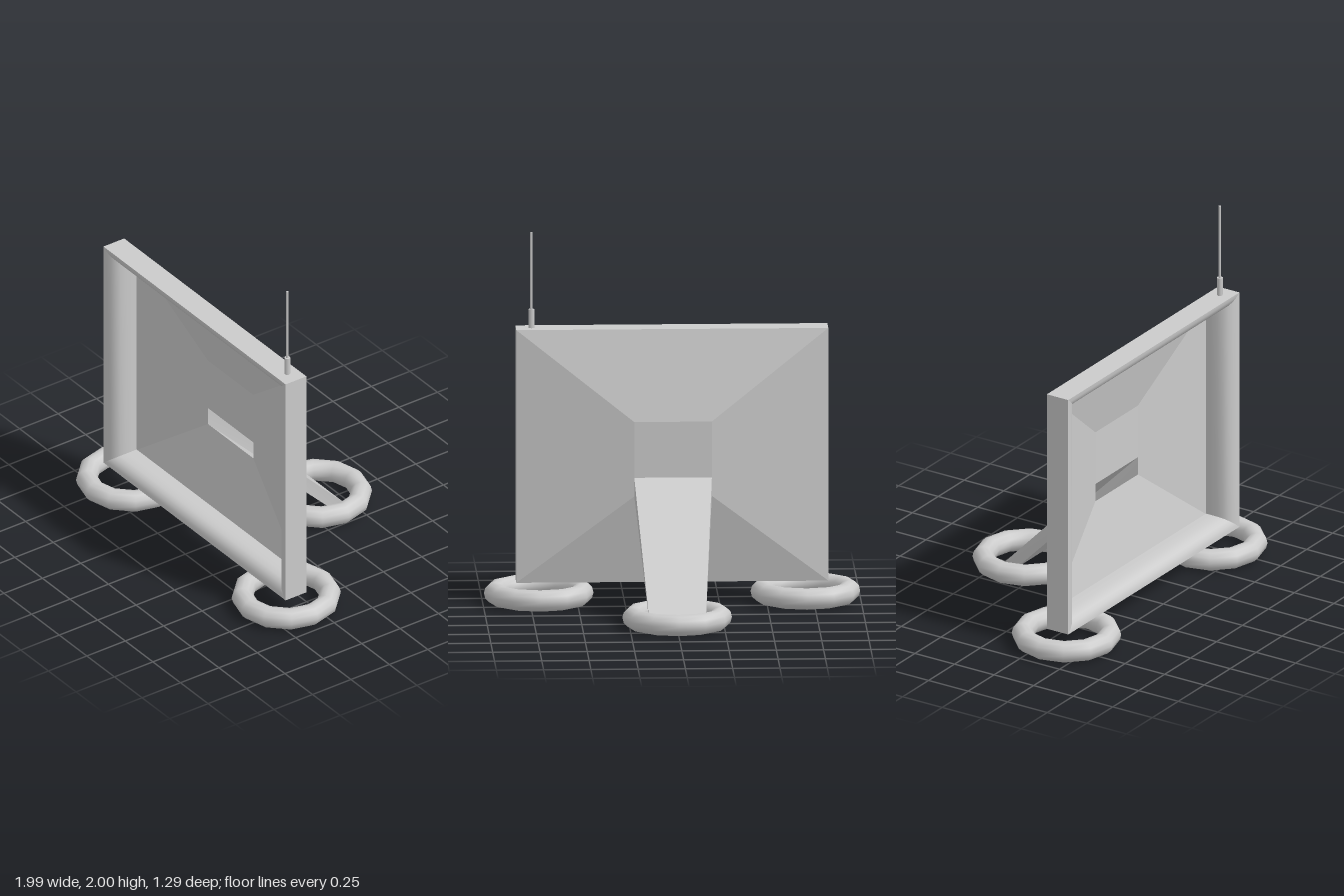
import * as THREE from 'three';

const material = new THREE.MeshStandardMaterial({ color: 0xcccccc });
const sheet = new THREE.MeshStandardMaterial({ color: 0xcccccc, side: THREE.DoubleSide });

// Four corners in the order bottom left, bottom right, top right, top left
const rect = (hx, y0, y1, z) => [[-hx, y0, z], [hx, y0, z], [hx, y1, z], [-hx, y1, z]];

// Four strips joining successive rectangles: smooth along a strip, sharp at the corners
function loft(rings) {
  const pos = [], index = [];
  for (let s = 0; s < 4; s++) {
    const base = pos.length / 3;
    rings.forEach((r, i) => {
      pos.push(...r[s], ...r[(s + 1) % 4]);
      if (i === 0) return;
      const a = base + 2 * (i - 1);
      index.push(a, a + 1, a + 3, a, a + 3, a + 2);
    });
  }
  return finish(pos, index);
}

function quad(corners) {
  return finish(corners.flat(), [0, 1, 2, 0, 2, 3]);
}

function finish(pos, index) {
  const g = new THREE.BufferGeometry();
  g.setAttribute('position', new THREE.Float32BufferAttribute(pos, 3));
  g.setIndex(index);
  g.computeVertexNormals();
  return g;
}

export function createModel() {
  const model = new THREE.Group();
  model.name = 'framedScreenOnFloats';
  const add = (name, geometry, mat = material, x = 0, y = 0, z = 0) => {
    const mesh = new THREE.Mesh(geometry, mat);
    mesh.name = name;
    mesh.position.set(x, y, z);
    model.add(mesh);
    return mesh;
  };

  // Frame: outer wall and rounded inner bezel
  const frameRing = (inset, z) => rect(0.825 - inset, 0.12 + inset * 0.8, 1.48 - inset * 0.8, z);
  add('frameWall', loft([frameRing(0, 0.305), frameRing(0, 0.44)]), sheet);
  const bezel = [[0, 0.44], [0.025, 0.438], [0.05, 0.43], [0.072, 0.415],
    [0.087, 0.393], [0.094, 0.36], [0.095, 0.325]];
  add('bezel', loft(bezel.map(([d, z]) => frameRing(d, z))), sheet);
  add('bezelReturn', loft([frameRing(0.095, 0.325), frameRing(0.095, 0.292)]), sheet);

  // Hollow back shell, with a slot left open below the back panel
  add('backShell', loft([rect(0.205, 0.6, 1.0, 0.205), frameRing(0, 0.305)]), sheet);
  add('backPanel', quad(rect(0.205, 0.7, 1.0, 0.205).reverse()), sheet);

  // Hollow tapering rear leg running down from the slot
  const foot = [[-0.15, 0.06, -0.33], [0.15, 0.06, -0.33], [0.15, 0.06, -0.42], [-0.15, 0.06, -0.42]];
  add('rearLeg', loft([foot, rect(0.205, 0.6, 0.7, 0.205)]), sheet);
  add('rearLegEnd', quad([...foot].reverse()), sheet);

  // Three floating rings
  const ring = new THREE.TorusGeometry(0.2325, 0.0575, 12, 12).rotateX(Math.PI / 2);
  add('leftRing', ring, material, 0.705, 0.0575, 0.35);
  add('rightRing', ring, material, -0.705, 0.0575, 0.35);
  add('rearRing', ring, material, 0, 0.0575, -0.36);

  // Antenna
  add('antennaBase', new THREE.CylinderGeometry(0.016, 0.016, 0.1, 8), material, 0.743, 1.53, 0.37);
  add('antennaRod', new THREE.CylinderGeometry(0.007, 0.007, 0.42, 8), material, 0.743, 1.785, 0.37);

  return model;
}
